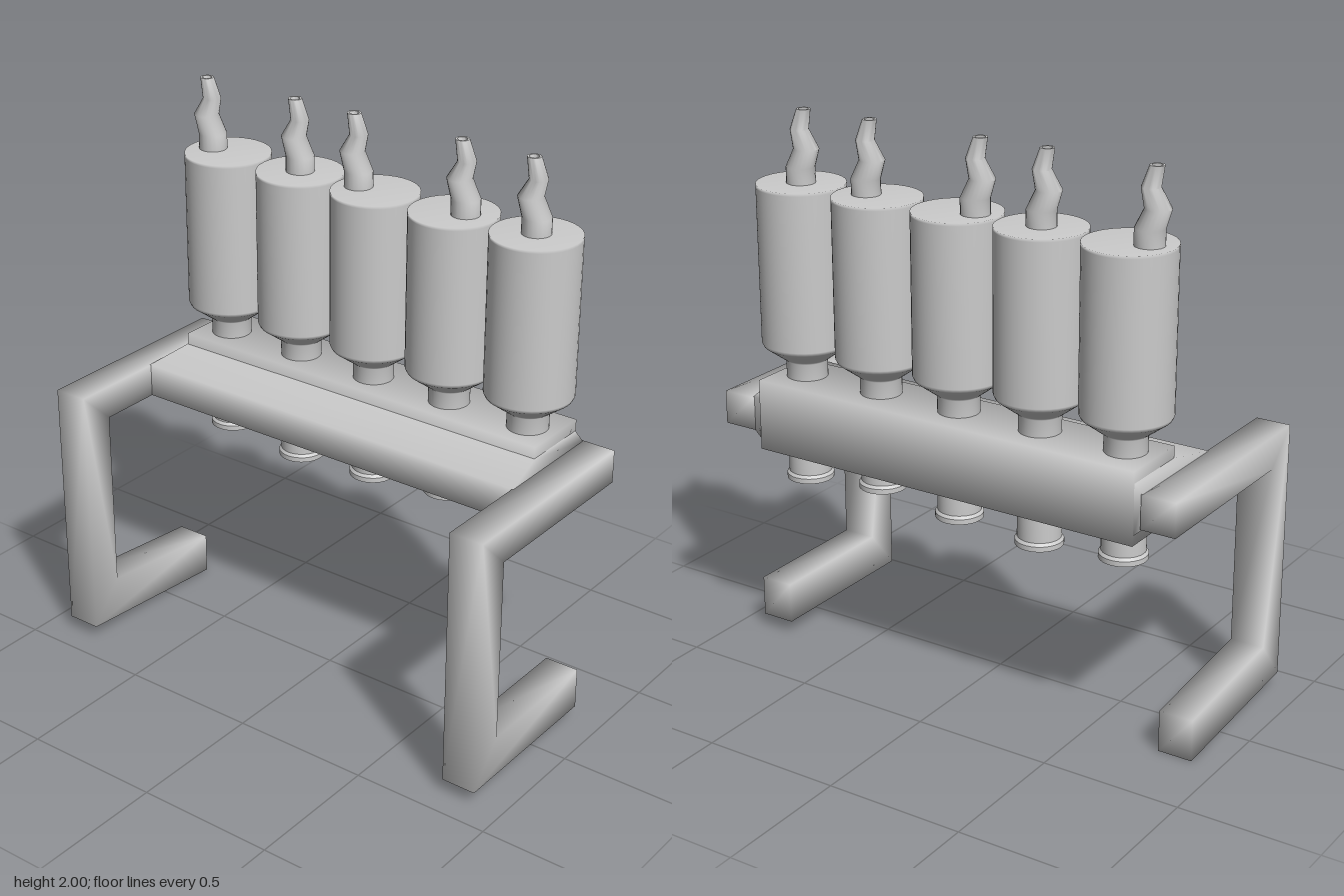
import * as THREE from 'three';
import { mergeVertices, toCreasedNormals } from 'three/addons/utils/BufferGeometryUtils.js';
import { ConvexGeometry } from 'three/addons/geometries/ConvexGeometry.js';

const grey = new THREE.MeshStandardMaterial({ color: 0xcccccc });
const BOTTLE_X = 0.245;

// bottle position, spout position and outlet end height for each bottle
const bottles = [
  { z: 0.643, spoutZ: 0.643, end: 0.675 },
  { z: 0.325, spoutZ: 0.37, end: 0.71 },
  { z: 0.005, spoutZ: -0.065, end: 0.675 },
  { z: -0.315, spoutZ: -0.315, end: 0.655 },
  { z: -0.637, spoutZ: -0.705, end: 0.685 },
];

function add(parent, name, geometry, x = 0, y = 0, z = 0) {
  const mesh = new THREE.Mesh(geometry, grey);
  mesh.name = name;
  mesh.position.set(x, y, z);
  parent.add(mesh);
  return mesh;
}

// share corners so the shading runs softly over the edges
function soften(geometry) {
  geometry.deleteAttribute('normal');
  geometry.deleteAttribute('uv');
  const merged = mergeVertices(geometry, 1e-4);
  merged.computeVertexNormals();
  return merged;
}

function lathe(points, segments = 32) {
  return new THREE.LatheGeometry(points.map(([r, y]) => new THREE.Vector2(r, y)), segments);
}

// C-shaped side bracket; footDrop lowers the free end of its foot
function bracketGeometry(footDrop) {
  const outline = [
    [0.385, 0.985], [-0.405, 0.985], [-0.405, 0.05], [0.225, 0.05 - footDrop],
    [0.225, 0.2 - footDrop], [-0.28, 0.2], [-0.28, 0.865], [0.385, 0.865],
  ];
  const shape = new THREE.Shape(outline.map(([x, y]) => new THREE.Vector2(x, y)));
  return soften(new THREE.ExtrudeGeometry(shape, { depth: 0.125, bevelEnabled: false }));
}

// wedge-shaped beam that thickens towards the bottle side
function beamGeometry() {
  const points = [];
  for (const s of [-1, 1]) {
    for (const v of [-1, 1]) {
      points.push(new THREE.Vector3(-0.05, 0.925 + v * 0.06, s * 0.78));
      points.push(new THREE.Vector3(0.38, 0.925 + v * 0.06, s * 0.78));
      points.push(new THREE.Vector3(0.125, 0.925 + v * 0.088, s * 0.75));
      points.push(new THREE.Vector3(0.38, 0.925 + v * 0.088, s * 0.75));
    }
  }
  return soften(new ConvexGeometry(points));
}

// tapering spout with a kinked centre line and an open tip
function spoutGeometry() {
  const rings = [
    [0.05, 1.74, 0], [0.05, 1.8, 0], [0.044, 1.865, -0.027], [0.032, 1.928, 0],
    [0.024, 2.0, -0.02], [0.017, 2.0, -0.02], [0.015, 1.96, -0.01], [0, 1.96, -0.01],
  ];
  const geometry = lathe(rings, 20);
  const position = geometry.attributes.position;
  for (let i = 0; i < position.count; i++) {
    position.setZ(i, position.getZ(i) + rings[i % rings.length][2]);
  }
  return toCreasedNormals(geometry, 0.9);
}

// short hollow outlet with a collar at its lower end
function outletGeometry(end) {
  return toCreasedNormals(lathe([
    [0, 0.79], [0.062, 0.79], [0.062, end], [0.083, end], [0.083, end + 0.018],
    [0.075, end + 0.028], [0.075, 0.81],
  ]), 0.6);
}

export function createModel() {
  const model = new THREE.Group();
  model.name = 'bottleRack';

  // frame
  add(model, 'frontBracket', bracketGeometry(0), 0, 0, 0.775);
  add(model, 'backBracket', bracketGeometry(0.05), 0, 0, -0.9);
  add(model, 'beam', beamGeometry());
  add(model, 'bottleHolder', soften(new THREE.BoxGeometry(0.26, 0.255, 1.495)), 0.255, 0.9275, 0);

  // bottles with neck, spout and outlet
  const bottleGeo = lathe([
    [0.072, 1.04], [0.072, 1.115], [0.085, 1.125], [0.148, 1.172], [0.154, 1.185],
    [0.154, 1.735], [0.154, 1.745], [0, 1.745],
  ], 40);
  const spoutGeo = spoutGeometry();
  for (const { z, spoutZ, end } of bottles) {
    const unit = new THREE.Group();
    unit.name = 'bottleUnit';
    unit.position.set(BOTTLE_X, 0, z);
    model.add(unit);
    add(unit, 'bottle', bottleGeo);
    add(unit, 'spout', spoutGeo, 0, 0, spoutZ - z);
    add(unit, 'outlet', outletGeometry(end));
  }
  return model;
}
